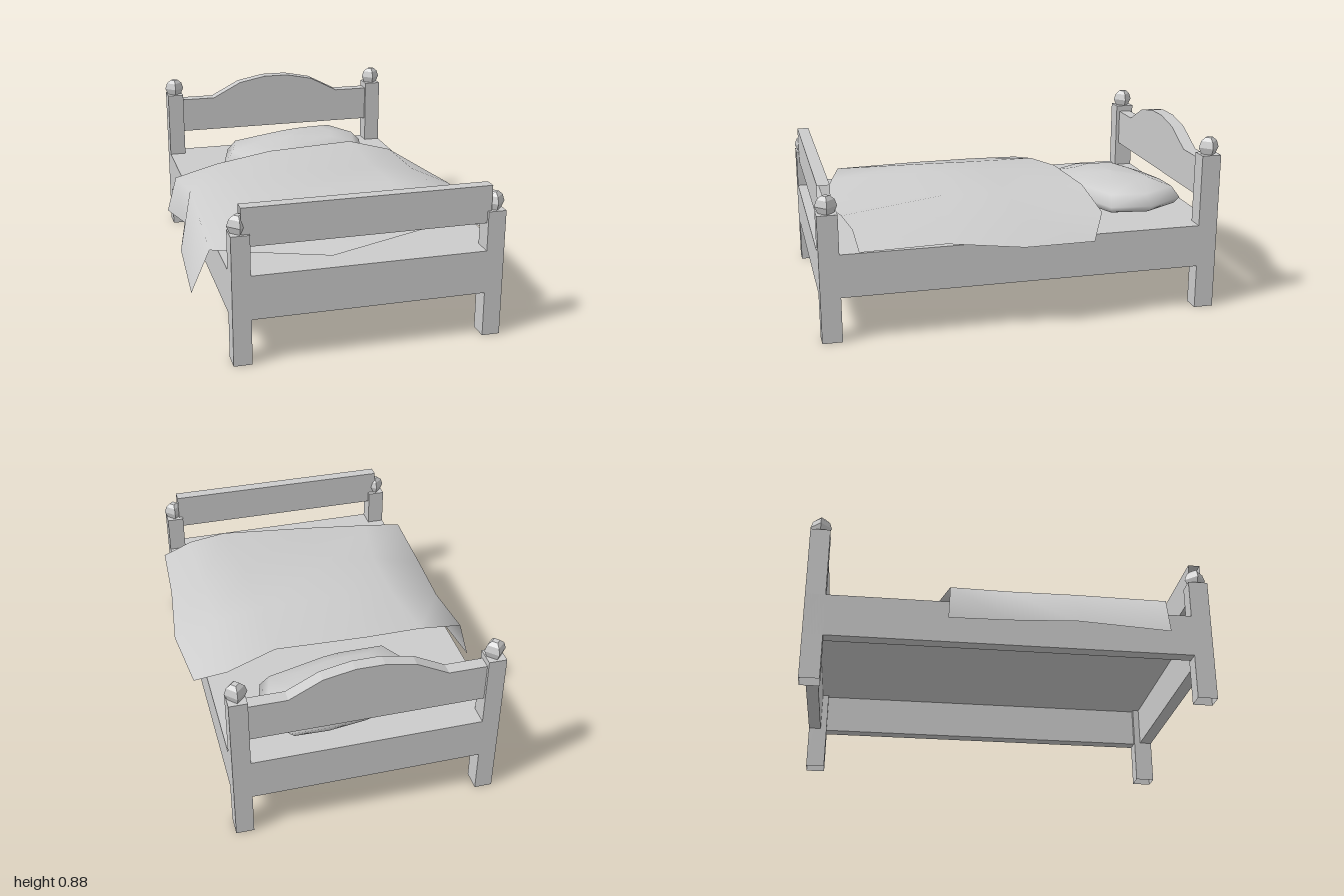
import * as THREE from 'three';

const material = new THREE.MeshStandardMaterial({ color: 0xcccccc });
const thin = new THREE.MeshStandardMaterial({ color: 0xcccccc, side: THREE.DoubleSide });
const flat = new THREE.MeshStandardMaterial({ color: 0xcccccc, side: THREE.DoubleSide, flatShading: true });

const LEFT = 0.673, RIGHT = -0.635; // outer sides of the frame
const HEAD = -1, FOOT = 0.995;
const POST_W = 0.088, POST_D = 0.098;

export function createModel() {
  const group = new THREE.Group();
  const add = (name, geometry, mat = material) => {
    const mesh = new THREE.Mesh(geometry, mat);
    mesh.name = name;
    group.add(mesh);
    return mesh;
  };

  // Box between two corners; open lists sides to leave out (0 +x, 1 -x, 2 +y, 3 -y, 4 +z, 5 -z)
  const box = (name, [x0, y0, z0], [x1, y1, z1], open) => {
    const g = new THREE.BoxGeometry(x1 - x0, y1 - y0, z1 - z0);
    g.translate((x0 + x1) / 2, (y0 + y1) / 2, (z0 + z1) / 2);
    const index = Array.from(g.index.array).filter((_, i) => !open.includes(Math.floor(i / 6)));
    g.clearGroups();
    g.setIndex(index);
    return add(name, g, thin);
  };

  // Surface through rows of points
  const skin = (rows, closed = false) => {
    const n = rows[0].length, index = [];
    for (let r = 0; r < rows.length - 1; r++) {
      for (let c = 0; c < (closed ? n : n - 1); c++) {
        const a = r * n + c, b = r * n + (c + 1) % n;
        index.push(a, a + n, b, b, a + n, b + n);
      }
    }
    const g = new THREE.BufferGeometry();
    g.setAttribute('position', new THREE.Float32BufferAttribute(rows.flat(2), 3));
    g.setIndex(index);
    g.computeVertexNormals();
    return g;
  };

  // Hollow posts with faceted knobs
  const knob = new THREE.LatheGeometry(
    [[0.038, 0], [0.053, 0.033], [0.042, 0.066], [0.02, 0.084], [0, 0.085]].map(p => new THREE.Vector2(...p)), 4);
  for (const [end, z, height] of [['head', HEAD + POST_D / 2, 0.8], ['foot', FOOT - POST_D / 2, 0.635]]) {
    for (const [side, x] of [['Left', LEFT - POST_W / 2], ['Right', RIGHT + POST_W / 2]]) {
      box(`${end}Post${side}`, [x - POST_W / 2, 0, z - POST_D / 2], [x + POST_W / 2, height, z + POST_D / 2], [3]);
      add(`${end}Knob${side}`, knob, flat).position.set(x, height, z);
    }
  }

  // Frame ring around a thin base panel
  const low = 0.225, top = 0.44, t = 0.065;
  const rectangle = inset => [[RIGHT + inset, HEAD + inset], [LEFT - inset, HEAD + inset],
    [LEFT - inset, FOOT - inset], [RIGHT + inset, FOOT - inset]].map(p => new THREE.Vector2(...p));
  const ring = new THREE.Shape(rectangle(0));
  ring.holes.push(new THREE.Path(rectangle(t)));
  add('frame', new THREE.ExtrudeGeometry(ring, { depth: top - low, bevelEnabled: false })
    .rotateX(Math.PI / 2).translate(0, top, 0));
  box('basePanel', [RIGHT + t, top - 0.01, HEAD + t], [LEFT - t, top, FOOT - t], [0, 1, 4, 5]);

  // Footboard, open at its ends
  box('footboard', [-0.585, 0.575, 0.92], [0.605, 0.76, 0.98], [0, 1]);

  // Arched headboard, open underneath
  const arch = [[-0.56, 0.767], [-0.36, 0.767], [-0.2, 0.85], [-0.05, 0.88],
    [0.09, 0.88], [0.24, 0.85], [0.4, 0.767], [0.6, 0.767]];
  const back = -0.985, front = -0.92, base = 0.575;
  add('headboard', skin([
    arch.map(([x]) => [x, base, back]), arch.map(([x, y]) => [x, y, back]),
    arch.map(([x, y]) => [x, y, front]), arch.map(([x]) => [x, base, front]),
  ]), flat);

  // Blanket, rows running from head to foot
  add('blanket', skin([
    [[-0.74, 0.3, -0.32], [-0.69, 0.49, -0.31], [-0.45, 0.54, -0.345], [-0.14, 0.575, -0.39],
      [0.33, 0.595, -0.395], [0.58, 0.52, -0.42], [0.74, 0.427, -0.33]],
    [[-0.69, 0.33, -0.03], [-0.655, 0.505, -0.03], [-0.4, 0.555, 0], [-0.14, 0.575, 0],
      [0.33, 0.575, 0], [0.57, 0.535, 0], [0.78, 0.44, 0.03]],
    [[-0.76, 0.31, 0.3], [-0.67, 0.5, 0.3], [-0.4, 0.56, 0.33], [-0.14, 0.585, 0.33],
      [0.33, 0.59, 0.33], [0.57, 0.545, 0.35], [0.74, 0.475, 0.4]],
    [[-0.78, 0.275, 0.745], [-0.69, 0.485, 0.755], [-0.5, 0.475, 0.81], [-0.14, 0.457, 0.9],
      [0.36, 0.53, 0.85], [0.56, 0.52, 0.82], [0.72, 0.46, 0.81]],
  ]), thin);

  // Pillow, its outline scaled into stacked loops and tilted up to the head
  const outline = [[-0.31, -0.79], [0, -0.885], [0.2, -0.92], [0.38, -0.92], [0.49, -0.72],
    [0.44, -0.52], [0.1, -0.41], [0, -0.39], [-0.26, -0.38], [-0.37, -0.57]];
  const cx = 0.06, cz = -0.65;
  const loops = [[0, 0.447], [0.92, 0.45], [1, 0.485], [0.88, 0.54], [0.55, 0.572], [0, 0.583]];
  add('pillow', skin(loops.map(([s, y]) => outline.map(([x, z]) => {
    const dx = (x - cx) * s, dz = (z - cz) * s;
    return [cx + dx, y + 0.03 * (dx - dz), cz + dz];
  })), true));

  return group;
}
